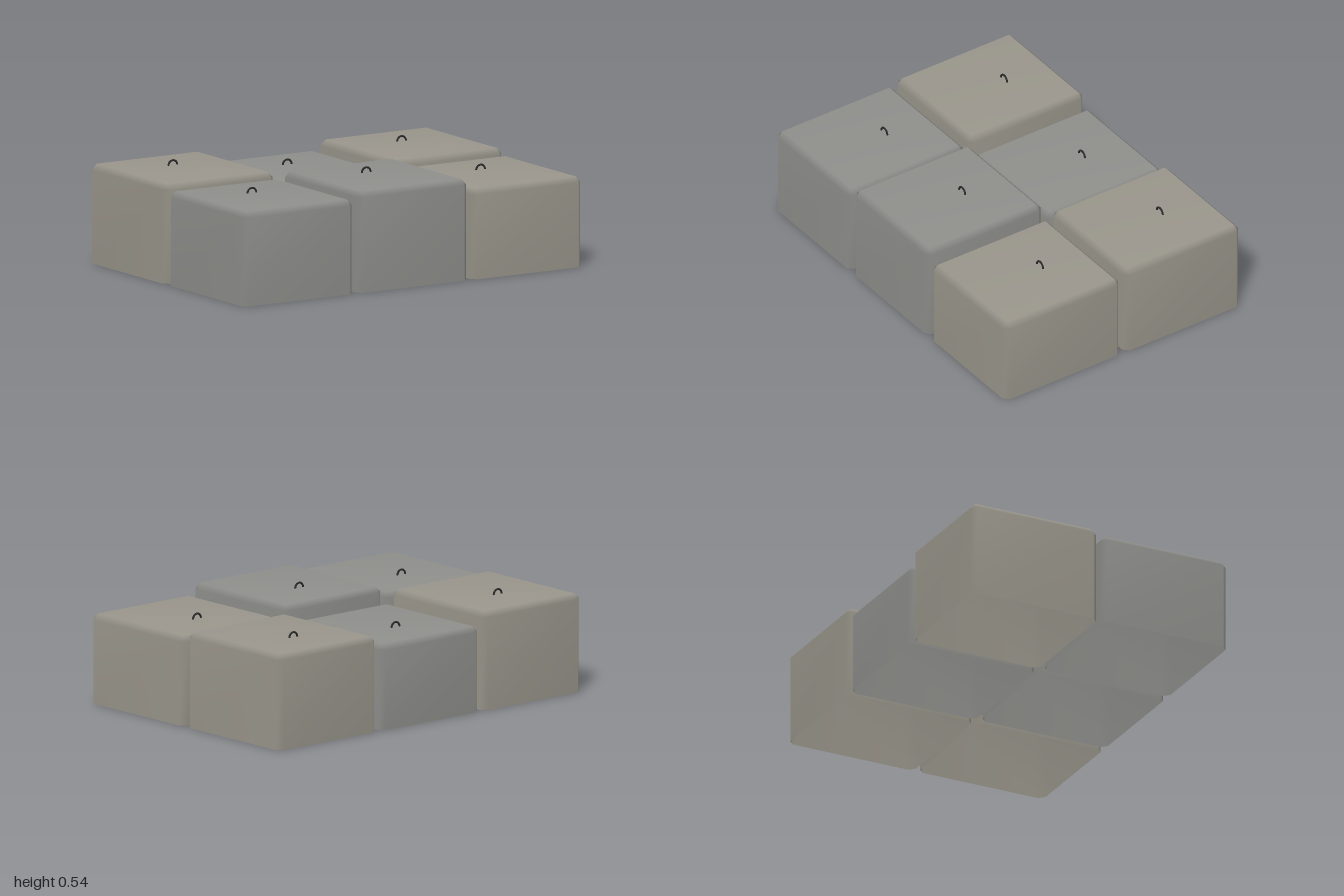
import * as THREE from 'three';

const W = 0.65, D = 0.70, BEVEL = 0.028;
const PITCH_X = 0.674, PITCH_Z = 0.724;

// Open-bottomed block: bevelled upright edges and a bevelled top rim
function blockGeometry(h) {
  const x = W / 2, z = D / 2, c = BEVEL;
  // Eight-cornered outline, counter-clockwise seen from above
  const outline = [
    [x, z - c], [x, -z + c], [x - c, -z], [-x + c, -z],
    [-x, -z + c], [-x, z - c], [-x + c, z], [x - c, z],
  ];
  const pos = [], index = [];
  for (const y of [0, h - c]) for (const [px, pz] of outline) pos.push(px, y, pz);
  // Four corners of the flat top, in the same order as the outline
  for (const [sx, sz] of [[1, 1], [1, -1], [-1, -1], [-1, 1]]) pos.push(sx * (x - c), h, sz * (z - c));
  for (let i = 0; i < 8; i++) {
    const j = (i + 1) % 8;
    index.push(i, j, 8 + j, i, 8 + j, 8 + i); // walls
    const a = 16 + Math.floor((i + 1) / 2) % 4;
    const t0 = 16 + Math.floor(i / 2), t1 = 16 + (Math.floor(i / 2) + 1) % 4;
    if (i % 2 === 0) index.push(8 + i, 8 + j, t1, 8 + i, t1, t0); // rim bevels
    else index.push(8 + i, 8 + j, a); // corner facets
  }
  index.push(16, 17, 18, 16, 18, 19); // top
  const g = new THREE.BufferGeometry();
  g.setAttribute('position', new THREE.Float32BufferAttribute(pos, 3));
  g.setIndex(index);
  g.computeVertexNormals(); // area weighting keeps faces flat and bevels soft
  return g;
}

export function createModel() {
  const model = new THREE.Group();
  model.name = 'blockCluster';
  const warm = new THREE.MeshStandardMaterial({ color: 0x9a968c, side: THREE.DoubleSide });
  const cool = new THREE.MeshStandardMaterial({ color: 0x8f908c, side: THREE.DoubleSide });
  const dark = new THREE.MeshStandardMaterial({ color: 0x2a2a2a });
  const ringGeometry = new THREE.TorusGeometry(0.026, 0.005, 8, 20, Math.PI);

  // Block heights and finishes, listed from -x to +x
  const rows = [
    { name: 'front', z: PITCH_Z / 2, heights: [0.475, 0.51, 0.455], mats: [cool, cool, warm] },
    { name: 'back', z: -PITCH_Z / 2, heights: [0.50, 0.435, 0.485], mats: [warm, cool, warm] },
  ];
  const columns = ['Right', 'Middle', 'Left'];

  for (const row of rows) {
    row.heights.forEach((h, i) => {
      const unit = new THREE.Group();
      unit.name = row.name + columns[i] + 'Unit';
      unit.position.set((i - 1) * PITCH_X, 0, row.z);

      const block = new THREE.Mesh(blockGeometry(h), row.mats[i]);
      block.name = 'block';

      // Half-ring lifting eye set slightly behind the middle
      const ring = new THREE.Mesh(ringGeometry, dark);
      ring.name = 'liftingRing';
      ring.position.set(0, h - 0.001, -0.085);

      unit.add(block, ring);
      model.add(unit);
    });
  }
  return model;
}
